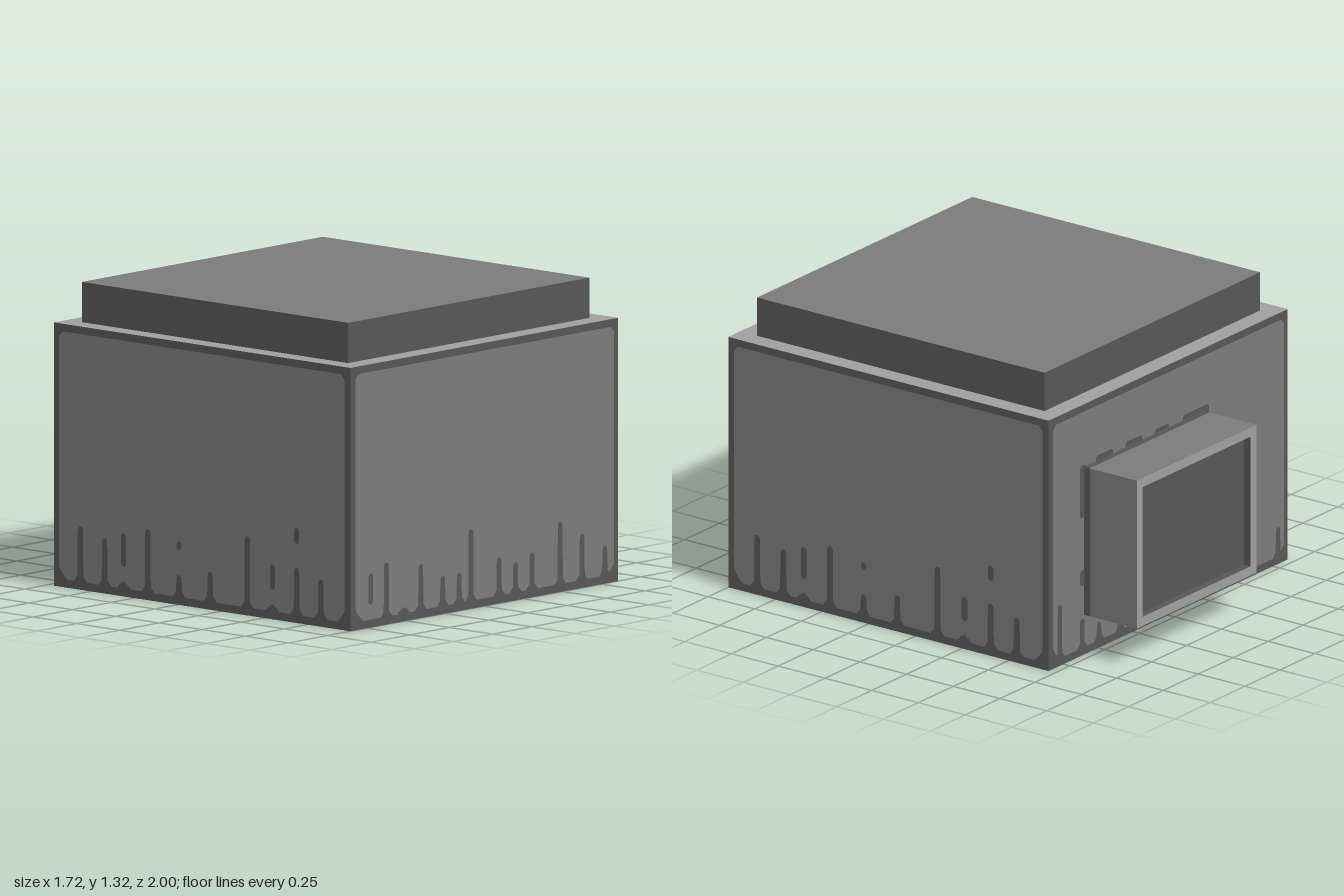
import * as THREE from 'three';

const mat = (name, color) => {
  const m = new THREE.MeshStandardMaterial({ color });
  m.name = name;
  return m;
};

export function createModel() {
  const model = new THREE.Group();
  model.name = 'boxUnit';
  const grey = mat('panelGrey', 0x7b7b7b);
  const dark = mat('wornDark', 0x565656);
  const light = mat('ledgeLight', 0x9f9f9f);

  // box given by its lower and upper corners
  const box = (name, a, b, material, parent = model) => {
    const size = b.map((v, i) => v - a[i]);
    const m = new THREE.Mesh(new THREE.BoxGeometry(...size), material);
    m.position.set(...a.map((v, i) => (v + b[i]) / 2));
    m.name = name;
    parent.add(m);
    return m;
  };
  const plate = (name, points, z, material, parent) => {
    const shape = new THREE.Shape(points.map(([x, y]) => new THREE.Vector2(x, y)));
    const m = new THREE.Mesh(new THREE.ShapeGeometry(shape), material);
    m.position.z = z;
    m.name = name;
    parent.add(m);
  };

  // body and lid; face order is +x, -x, +y, -y, +z, -z
  box('body', [-0.855, 0, -0.715], [0.855, 1.145, 1], [dark, dark, light, grey, dark, dark]);
  box('lid', [-0.77, 1.145, -0.63], [0.77, 1.32, 0.91], [dark, dark, grey, dark, dark, dark]);

  // worn streak rising from the bottom edge
  const streak = (x, top, wall) => plate('streak', [
    [x - 0.04, 0.033], [x + 0.04, 0.033], [x + 0.017, 0.06], [x + 0.015, top - 0.012],
    [x + 0.007, top], [x - 0.007, top], [x - 0.015, top - 0.012], [x - 0.017, 0.06],
  ], 0.004, dark, wall);
  // loose worn patch with cut corners
  const patch = (x0, y0, x1, y1, wall) => {
    const c = Math.min(0.01, (x1 - x0) / 3, (y1 - y0) / 3);
    plate('wornPatch', [
      [x0 + c, y0], [x1 - c, y0], [x1, y0 + c], [x1, y1 - c],
      [x1 - c, y1], [x0 + c, y1], [x0, y1 - c], [x0, y0 + c],
    ], 0.004, dark, wall);
  };

  const frontStreaks = [[-0.63, 0.27], [-0.52, 0.06], [-0.41, 0.235], [-0.27, 0.165],
    [-0.165, 0.165], [-0.09, 0.345], [0.09, 0.2], [0.195, 0.165], [0.3, 0.195],
    [0.48, 0.305], [0.62, 0.235], [0.765, 0.165]];
  const sideStreaks = [[-0.7, 0.275], [-0.56, 0.24], [-0.45, 0.065], [-0.31, 0.31],
    [-0.13, 0.13], [0.05, 0.165], [0.265, 0.345], [0.41, 0.065], [0.55, 0.24], [0.69, 0.205]];
  const backStreaks = [[-0.78, 0.28], [-0.62, 0.17], [-0.5, 0.12], [-0.35, 0.18],
    [-0.2, 0.14], [-0.05, 0.17], [0.08, 0.12], [0.22, 0.16], [0.36, 0.2],
    [0.47, 0.14], [0.59, 0.31], [0.78, 0.17]];
  // loose patches: centre x, bottom, top
  const sideLoose = [[-0.45, 0.13, 0.275], [-0.13, 0.24, 0.277], [0.41, 0.13, 0.24], [0.55, 0.345, 0.415]];

  // wall panels, each facing outwards
  const walls = [
    ['front', 0, 0.855, 0.8575, frontStreaks, [[-0.73, 0.1, 0.235]]],
    ['left', Math.PI / 2, 0.855, 0.855, sideStreaks, sideLoose],
    ['back', Math.PI, 0.855, 0.8575, backStreaks, []],
    ['right', -Math.PI / 2, 0.855, 0.855, sideStreaks, sideLoose],
  ];
  for (const [name, turn, half, distance, streaks, loose] of walls) {
    const wall = new THREE.Group();
    wall.name = name + 'Wall';
    wall.rotation.y = turn;
    wall.position.set(Math.sin(turn) * distance, 0, 0.1425 + Math.cos(turn) * distance);
    model.add(wall);
    const w = half - 0.03;
    plate('panel', [
      [-w + 0.05, 0.035], [w - 0.04, 0.035], [w, 0.08], [w, 1.09], [w - 0.02, 1.112],
      [-w + 0.02, 1.112], [-w, 1.09], [-w, 0.09], [-w + 0.02, 0.06],
    ], 0.002, grey, wall);
    streaks.forEach(([x, top]) => streak(x, top, wall));
    loose.forEach(([x, y0, y1]) => patch(x - 0.015, y0, x + 0.015, y1, wall));
    if (name === 'back') {
      // wear around the vent
      const around = [[-0.635, 0.63, -0.59, 0.87], [-0.635, 0.32, -0.59, 0.39],
        [0.23, 0.53, 0.285, 0.885], [0.23, 0.36, 0.28, 0.45], [-0.52, 0.84, -0.4, 0.885],
        [-0.31, 0.84, -0.19, 0.885], [-0.1, 0.84, 0, 0.88], [0.1, 0.84, 0.26, 0.885],
        [-0.5, 0.15, -0.36, 0.2], [-0.2, 0.15, 0.02, 0.2]];
      around.forEach((p) => patch(...p, wall));
    }
  }

  // vent box on the back, with a dark collar and a recessed dark plate
  const vent = new THREE.Group();
  vent.name = 'vent';
  model.add(vent);
  const [x0, x1, y0, y1, rim, face] = [-0.25, 0.605, 0.183, 0.86, 0.042, -1];
  box('ventCollar', [x0, y0, -0.748], [x1, y1, -0.715], dark, vent);
  box('ventBody', [x0, y0, -0.965], [x1, y1, -0.748], [grey, grey, grey, grey, grey, dark], vent);
  const rims = [
    [[x0, y0], [x0 + rim, y1], [dark, grey]],
    [[x1 - rim, y0], [x1, y1], [grey, dark]],
  ];
  rims.forEach(([a, b, s]) => box('ventRimSide', [...a, face], [...b, -0.965],
    [...s, grey, grey, grey, light], vent));
  box('ventRimTop', [x0 + rim, y1 - rim, face], [x1 - rim, y1, -0.965],
    [grey, grey, grey, dark, grey, light], vent);
  box('ventRimBottom', [x0 + rim, y0, face], [x1 - rim, y0 + rim, -0.965],
    [grey, grey, dark, grey, grey, light], vent);

  return model;
}
